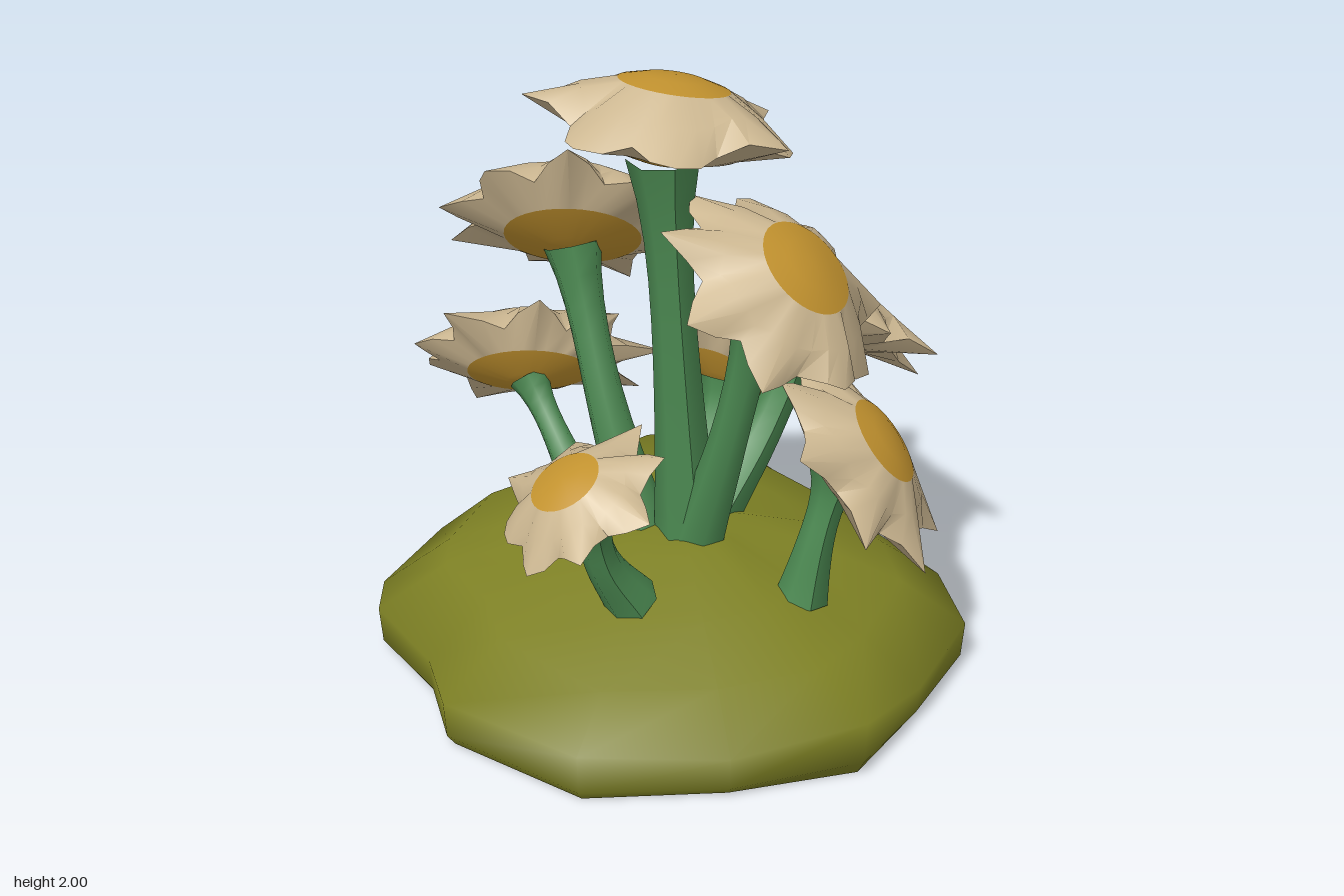
import * as THREE from 'three';
import { toCreasedNormals } from 'three/addons/utils/BufferGeometryUtils.js';

const V = (x, y, z) => new THREE.Vector3(x, y, z);
const mat = (name, color) => Object.assign(new THREE.MeshStandardMaterial({ color }), { name });

// Seeded random in the range -1..1
let seed = 7;
const rnd = () => {
  seed = (seed * 16807) % 2147483647;
  return (seed / 2147483647) * 2 - 1;
};

// Skins rings of equal point count, listed from bottom to top
function loft(rings, crease = 0.9) {
  const n = rings[0].length, index = [];
  for (let i = 0; i < rings.length - 1; i++) {
    for (let j = 0; j < n; j++) {
      const a = i * n + j, b = i * n + (j + 1) % n;
      index.push(a, b, b + n, a, b + n, a + n);
    }
  }
  const g = new THREE.BufferGeometry().setFromPoints(rings.flat());
  g.setIndex(index);
  return toCreasedNormals(g, crease);
}

function add(group, name, geometry, material) {
  const mesh = new THREE.Mesh(geometry, material);
  mesh.name = name;
  group.add(mesh);
}

// Ground outline as [x, z], front to left to back to right
const OUTLINE = [
  [0.33, 0.9], [0.6, 0.66], [0.87, 0.38], [0.91, 0.05], [0.76, -0.35], [0.62, -0.64], [0.4, -0.81], [0.1, -0.83],
  [-0.25, -0.87], [-0.65, -0.75], [-0.91, -0.43], [-0.96, -0.25], [-0.86, 0.1], [-0.87, 0.38], [-0.55, 0.79], [-0.1, 0.89],
];

function makeMound(group, material) {
  // the top rises a little towards the back
  const ring = (s, y, bump, rise = 0) => OUTLINE.map(([x, z]) => V(x * s, y + bump * rnd() - rise * z * s, z * s));
  const foot = ring(0.95, 0, 0);
  const shoulder = ring(0.76, 0.305, 0.025, 0.06);
  // raised lumps along the back edge
  [6, 7].forEach((i) => { shoulder[i].y = 0.46; });
  const rings = [
    foot, ring(0.98, 0.04, 0.015), ring(0.99, 0.16, 0.04), shoulder,
    ring(0.5, 0.4, 0.02, 0.1), ring(0.22, 0.46, 0.015, 0.08), ring(0, 0.48, 0),
  ];
  add(group, 'mound', loft(rings, 1.6), material);
  add(group, 'moundUnderside', loft([ring(0, 0, 0), foot]), material);
}

// Tapered stem that widens at the root and under the flower
function makeStem(group, from, to, bend, r, material) {
  const mid = from.clone().lerp(to, 0.5).add(bend);
  const curve = new THREE.CatmullRomCurve3([from, mid, to]);
  const steps = 10, sides = 7;
  const g = new THREE.TubeGeometry(curve, steps, r, sides);
  const p = g.attributes.position, v = V(0, 0, 0);
  for (let i = 0; i <= steps; i++) {
    const t = i / steps, c = curve.getPointAt(t);
    const k = 0.85 + 0.75 * (1 - t) ** 2 + 0.75 * t ** 6;
    for (let j = 0; j <= sides; j++) {
      const q = i * (sides + 1) + j;
      v.fromBufferAttribute(p, q).sub(c).multiplyScalar(k).add(c);
      p.setXYZ(q, v.x, v.y, v.z);
    }
  }
  g.computeVertexNormals();
  add(group, 'stem', g, material);
}

// Flower with a domed disc, ragged drooping petals and a cone beneath;
// depth narrows the petals along the flower's own z
function makeFlower(group, center, normal, R, depth, petals, mats) {
  const flower = new THREE.Group();
  flower.name = 'flower';
  flower.position.copy(center);
  flower.quaternion.setFromUnitVectors(V(0, 1, 0), normal);
  const s = R / 0.42, n = petals * 4, turn = rnd() * 3;
  const reach = Array.from({ length: petals }, () => 1 + 0.15 * rnd());
  const droop = Array.from({ length: petals }, () => 0.045 * rnd());
  const ring = (f) => Array.from({ length: n }, (_, j) => {
    const a = turn + (j / n) * Math.PI * 2;
    const [r, h] = f(j % 4, Math.floor(j / 4));
    return V(Math.sin(a) * r * s, h * s, Math.cos(a) * r * s * depth);
  });
  const circle = (r, h) => ring(() => [r, h]);
  const tips = ring((k, i) => [
    k === 0 ? 0.31 : 0.43 * (k === 2 ? reach[i] : 0.84),
    -0.145 + (k === 0 ? -0.015 : droop[i]),
  ]);
  const ridges = ring((k, i) => [0.27, (k === 0 ? -0.1 : -0.075) + droop[i] * 0.5]);
  const base = circle(0.215, -0.21), edge = circle(0.165, -0.025);
  add(flower, 'flowerBase', loft([circle(0, -0.25), circle(0.08, -0.25), base]), mats.yellow);
  add(flower, 'petals', loft([base, tips, ridges, edge]), mats.petal);
  add(flower, 'disc', loft([edge, circle(0.09, -0.003), circle(0, 0.005)]), mats.yellow);
  group.add(flower);
}

export function createModel() {
  seed = 7;
  const group = new THREE.Group();
  group.name = 'flowerClump';
  const mats = {
    moss: mat('mossGreen', 0x7d8024),
    stem: mat('stemGreen', 0x4c8a52),
    petal: mat('petalCream', 0xcdb892),
    yellow: mat('discYellow', 0xc3932f),
  };
  makeMound(group, mats.moss);

  // flower centre, facing, radius, depth, petal count, stem root, stem bend, stem radius
  const flowers = [
    [[-0.03, 1.99, 0.07], [0.18, 1, -0.08], 0.43, 1, 8, [0.03, 0.4, 0.03], [0, 0, 0], 0.072],
    [[-0.2, 1.5, -0.49], [0.22, 0.68, -0.68], 0.43, 0.92, 9, [-0.1, 0.4, -0.05], [-0.02, 0, 0.02], 0.06],
    [[-0.31, 0.9, -0.77], [0.15, 0.62, -0.75], 0.41, 0.72, 9, [-0.22, 0.4, -0.35], [0, 0, 0.02], 0.045],
    [[-0.48, 0.9, 0.41], [-0.48, 0.82, 0.1], 0.29, 1, 8, [-0.24, 0.38, 0.3], [-0.02, -0.02, 0], 0.055],
    [[0.6, 1.18, -0.22], [0.55, 0.78, -0.25], 0.39, 1, 9, [0.12, 0.42, -0.06], [0.03, -0.03, -0.02], 0.06],
    [[0.4, 0.83, -0.54], [0.6, 0.57, -0.5], 0.31, 1, 8, [0.15, 0.4, -0.33], [0, -0.02, 0], 0.055],
    [[0.28, 1.5, 0.42], [0.47, 0.72, 0.5], 0.41, 1, 9, [0.04, 0.4, 0.06], [0, 0, 0.03], 0.06],
    [[0.54, 0.91, 0.45], [0.68, 0.62, 0.35], 0.37, 1, 8, [0.3, 0.34, 0.36], [-0.01, 0, 0.01], 0.055],
  ];
  for (const [c, facing, R, depth, petals, root, bend, r] of flowers) {
    const center = V(...c), normal = V(...facing).normalize();
    const neck = center.clone().addScaledVector(normal, -0.235 * R / 0.42);
    makeStem(group, V(...root), neck, V(...bend), r, mats.stem);
    makeFlower(group, center, normal, R, depth, petals, mats);
  }
  return group;
}
